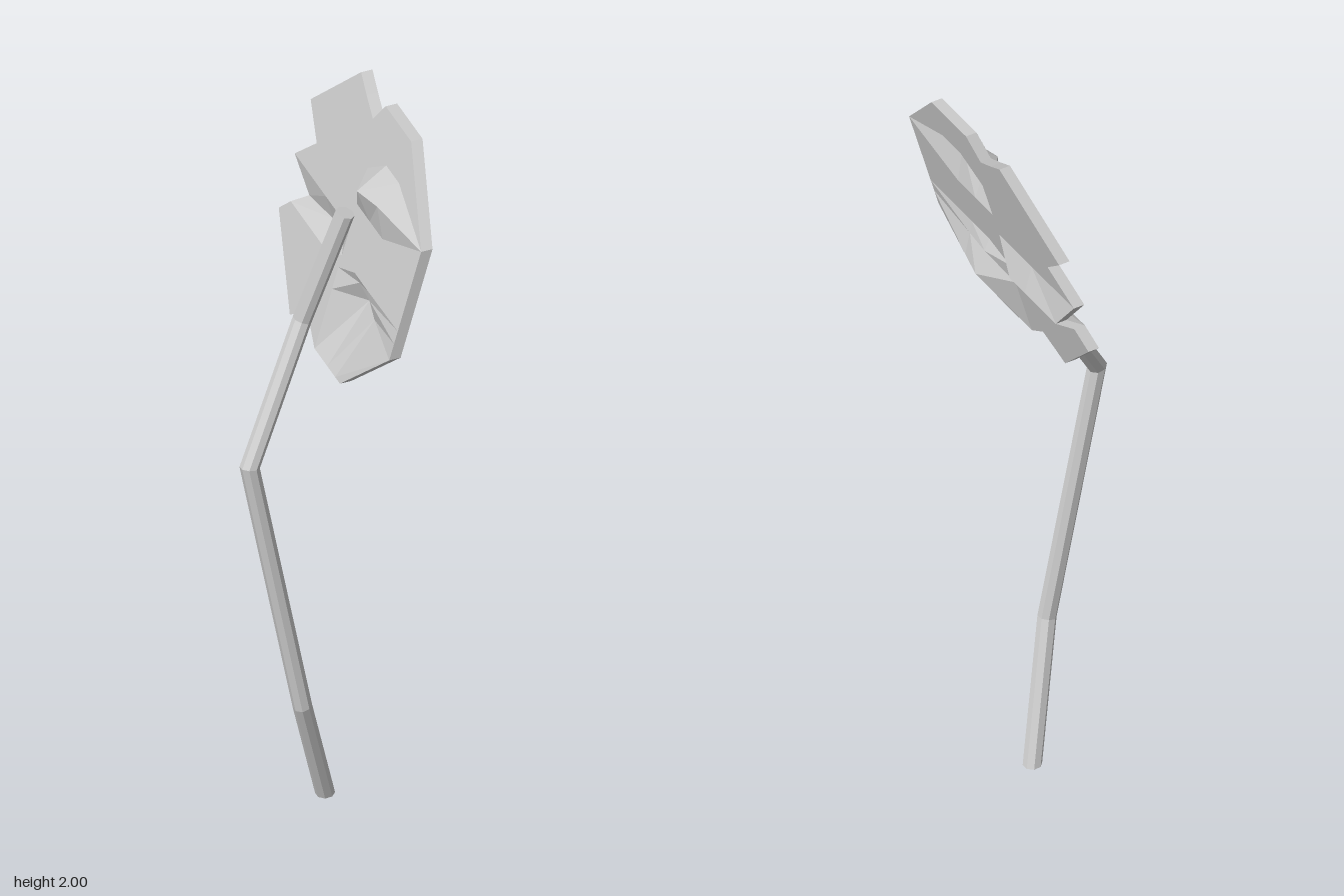
import * as THREE from 'three';

const material = new THREE.MeshStandardMaterial({ color: 0xcccccc, flatShading: true });

// Collects quads (counter-clockwise corners) into a faceted mesh.
function quadMesh(name, quads) {
  const pos = [];
  for (const [a, b, c, d] of quads)
    for (const p of [a, b, c, a, c, d]) pos.push(p.x, p.y, p.z);
  const geo = new THREE.BufferGeometry();
  geo.setAttribute('position', new THREE.Float32BufferAttribute(pos, 3));
  geo.computeVertexNormals();
  const mesh = new THREE.Mesh(geo, material);
  mesh.name = name;
  return mesh;
}

// Octagonal stalk with mitred bends.
function createStem() {
  const sides = 8, radius = 0.024;
  const path = [[0.03, 0, 0], [-0.07, 0.35, 0.095], [-0.2, 1.08, 0.075], [-0.012, 1.39, -0.045], [0.083, 1.712, 0]]
    .map(p => new THREE.Vector3(...p));
  const dirs = path.slice(1).map((p, i) => p.clone().sub(path[i]).normalize());
  const u = new THREE.Vector3(0, 0, 1).cross(dirs[0]).normalize();
  const v = dirs[0].clone().cross(u);
  let ring = Array.from({ length: sides }, (_, k) => {
    const a = (k + 0.5) / sides * Math.PI * 2;
    return path[0].clone().addScaledVector(u, radius * Math.cos(a)).addScaledVector(v, radius * Math.sin(a));
  });
  // Slide the ring along a segment until it meets the joint plane.
  const slide = (pts, dir, at, normal) => pts.map(p =>
    p.clone().addScaledVector(dir, at.clone().sub(p).dot(normal) / dir.dot(normal)));
  ring = slide(ring, dirs[0], path[0], new THREE.Vector3(0, 1, 0));
  const quads = [];
  for (let k = 0; k < sides; k++) quads.push([path[0], ring[(k + 1) % sides], ring[k], path[0]]);
  dirs.forEach((dir, i) => {
    const end = path[i + 1];
    const normal = dirs[i + 1] ? dir.clone().add(dirs[i + 1]).normalize() : dir;
    const next = slide(ring, dir, end, normal);
    for (let k = 0; k < sides; k++) {
      const n = (k + 1) % sides;
      quads.push([ring[k], ring[n], next[n], next[k]]);
    }
    ring = next;
  });
  const tip = path[path.length - 1];
  for (let k = 0; k < sides; k++) quads.push([tip, ring[k], ring[(k + 1) % sides], tip]);
  return quadMesh('stem', quads);
}

// Leaning, notched blade: rows run from top to bottom, each point is [z, y, bulge off the plane].
function createLeaf() {
  const thickness = 0.03;
  const inner = [0.16, 0.08, 0, -0.08, -0.15];
  const row = (left, y, right, bulge = []) =>
    [left, ...inner.map((z, i) => [z, y, bulge[i] || 0]), right];
  const rows = [
    [[0.16, 2], [0.13, 2], [0.08, 2], [0, 2], [-0.04, 1.94], [-0.1, 1.97], [-0.155, 2]],
    row([0.35, 1.81], 1.885, [-0.27, 1.885]),
    row([0.35, 1.81], 1.83, [-0.345, 1.81], [-0.042, -0.062]),   // dent
    row([0.35, 1.73], 1.73, [-0.26, 1.74]),
    row([0.35, 1.66], 1.66, [-0.345, 1.66]),
    row([0.35, 1.59], 1.588, [-0.28, 1.575, 0.035], [0, 0, 0, 0.04, 0.04]), // right ridge
    row([0.35, 1.555], 1.555, [-0.3, 1.555], [0.015, 0.022]),
    row([0.35, 1.51], 1.495, [-0.345, 1.51], [0.045, 0.065]),    // left ridge
    [[0.16, 1.33], [0.13, 1.33], [0.08, 1.33], [0, 1.33], [-0.075, 1.38], [-0.12, 1.353], [-0.155, 1.33]],
  ];
  const front = rows.map(r => r.map(([z, y, bulge = 0]) =>
    new THREE.Vector3(0.032 + (y - 1.33) * 0.28 + bulge, y, z)));
  const behind = p => new THREE.Vector3(p.x - thickness, p.y, p.z);
  const quads = [];
  const last = front.length - 1, cols = front[0].length;
  for (let i = 0; i < last; i++)
    for (let j = 0; j < cols - 1; j++) {
      const q = [front[i][j], front[i + 1][j], front[i + 1][j + 1], front[i][j + 1]];
      quads.push(q, [q[0], q[3], q[2], q[1]].map(behind));
    }
  // Rim around the outline.
  const outline = [
    ...front.map(r => r[0]), ...front[last].slice(1, -1),
    ...front.map(r => r[cols - 1]).reverse(), ...front[0].slice(1, -1).reverse(),
  ];
  outline.forEach((p, i) => {
    const q = outline[(i + 1) % outline.length];
    if (p.distanceTo(q) > 1e-6) quads.push([behind(p), behind(q), q, p]);
  });
  return quadMesh('leaf', quads);
}

export function createModel() {
  const group = new THREE.Group();
  group.name = 'leafOnStem';
  group.add(createStem(), createLeaf());
  return group;
}
